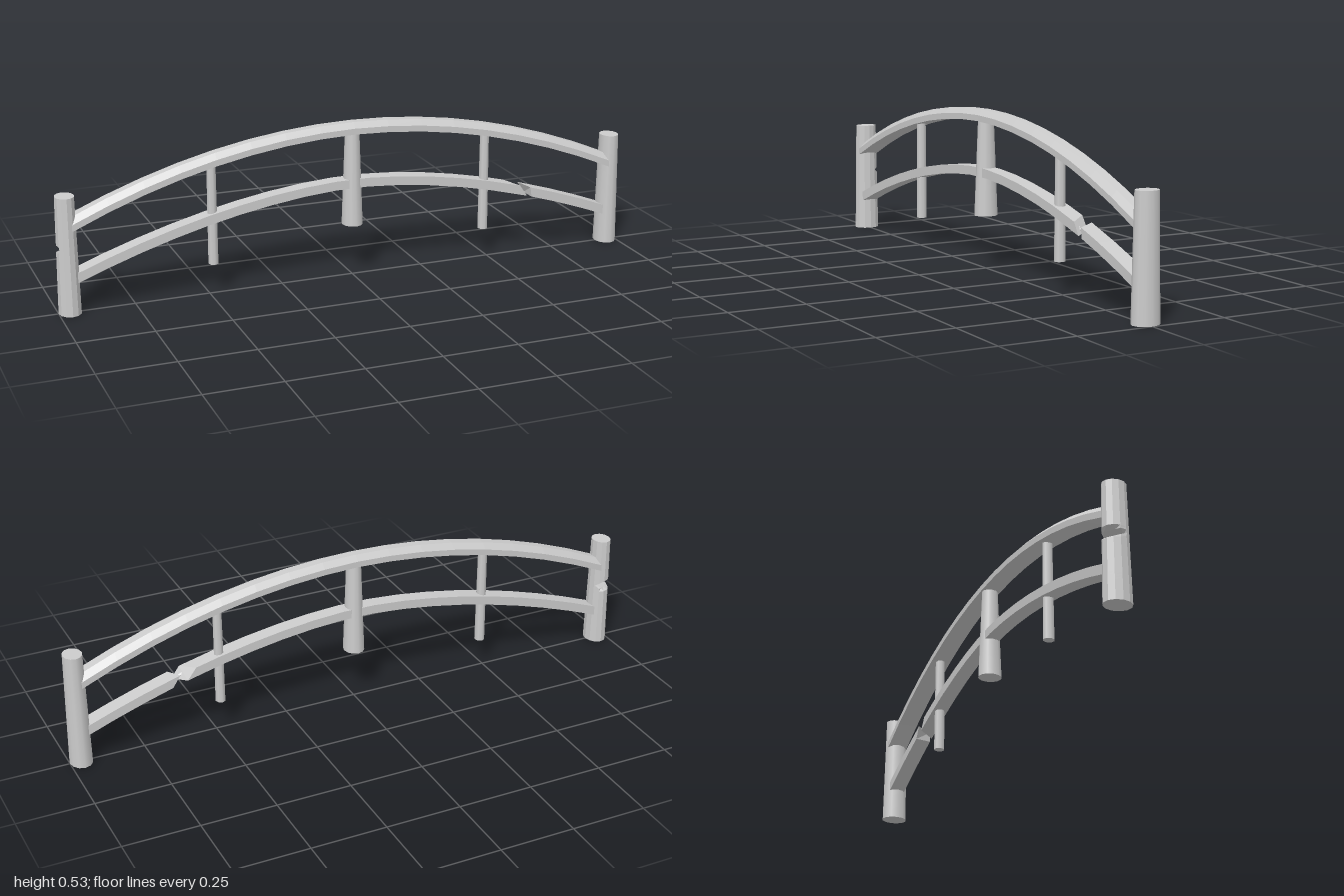
import * as THREE from 'three';

const flat = new THREE.MeshStandardMaterial({ color: 0xcccccc, flatShading: true });
const smooth = new THREE.MeshStandardMaterial({ color: 0xcccccc });

// Sweep a (y, z) section along x following an arch; cut shifts x per section corner at broken ends
function railGeometry(x0, x1, steps, section, arch, cut0, cut1) {
  const n = section.length, pos = [], idx = [];
  for (let i = 0; i <= steps; i++) {
    section.forEach(([dy, z], k) => {
      let x = x0 + (x1 - x0) * i / steps;
      if (i === 0 && cut0) x += cut0[k];
      if (i === steps && cut1) x += cut1[k];
      const s = 1 + 0.12 * Math.abs(x);
      pos.push(x, arch(x) + dy * s, z * s);
    });
  }
  for (let i = 0; i < steps; i++) {
    for (let k = 0; k < n; k++) {
      const a = i * n + k, b = i * n + (k + 1) % n;
      idx.push(a, b, a + n, b, b + n, a + n);
    }
  }
  const e = steps * n;
  for (let k = 1; k < n - 1; k++) idx.push(0, k + 1, k, e, e + k, e + k + 1);
  const g = new THREE.BufferGeometry();
  g.setAttribute('position', new THREE.Float32BufferAttribute(pos, 3));
  g.setIndex(idx);
  const out = g.toNonIndexed();
  out.computeVertexNormals();
  return out;
}

// Tapered post standing on y0, slightly oval: rx = rz * oval
function postGeometry(rTop, rBottom, y0, y1, oval, sides = 12, rows = 1) {
  const g = new THREE.CylinderGeometry(rTop, rBottom, y1 - y0, sides, rows);
  g.translate(0, (y0 + y1) / 2, 0);
  g.scale(oval, 1, 1);
  return g;
}

// Wedge notch: push the wall on the outer back side inwards around a height
function notch(g, y, half, dir) {
  const p = g.attributes.position, v = new THREE.Vector3();
  for (let i = 0; i < p.count; i++) {
    v.fromBufferAttribute(p, i);
    const t = 1 - Math.abs(v.y - y) / half;
    if (t <= 0) continue;
    const d = v.dot(dir), limit = 0.045 * (1 - t);
    if (d > limit) v.addScaledVector(dir, limit - d);
    p.setXYZ(i, v.x, v.y, v.z);
  }
  g.computeVertexNormals();
  return g;
}

export function createModel() {
  const group = new THREE.Group();
  const add = (name, geometry, material, x = 0) => {
    const m = new THREE.Mesh(geometry, material);
    m.name = name;
    m.position.x = x;
    group.add(m);
  };

  // End posts, the right one with an axe-like notch
  add('leftEndPost', postGeometry(0.038, 0.045, 0, 0.39, 0.83), smooth, 0.963);
  add('rightEndPost', notch(postGeometry(0.038, 0.045, 0, 0.39, 0.83, 12, 39), 0.22, 0.022,
    new THREE.Vector3(-0.64, 0, -0.77)), flat, -0.963);

  // Centre post and thin balusters
  add('centrePost', postGeometry(0.027, 0.04, 0.18, 0.505, 0.87), smooth);
  for (const [name, x] of [['leftBaluster', 0.482], ['rightBaluster', -0.485]]) {
    add(name, postGeometry(0.017, 0.019, 0.103, 0.45, 0.9, 8), smooth, x);
  }

  // Handrail with chamfered top
  const handSection = [[-0.038, -0.032], [-0.018, -0.032], [0, -0.015], [0, 0.015], [-0.018, 0.032], [-0.038, 0.032]];
  const handArch = x => 0.534 - 0.207 * (x / 0.94) ** 2;
  add('handrail', railGeometry(-0.95, 0.95, 16, handSection, handArch), flat);

  // Lower rail, snapped in two on the left
  const lowSection = [[-0.03, -0.025], [0, -0.025], [0, 0.025], [-0.03, 0.025]];
  const lowArch = x => 0.341 - 0.203 * (Math.abs(x) / 0.94) ** 1.8;
  add('lowerRail', railGeometry(-0.95, 0.6, 14, lowSection, lowArch, null, [0, -0.03, 0.01, 0.037]), flat);
  add('lowerRailBrokenEnd', railGeometry(0.65, 0.95, 3, lowSection, lowArch, [0, -0.025, 0, 0.005]), flat);

  // Splinter at the break
  const splinter = new THREE.ConeGeometry(0.008, 0.05, 4);
  splinter.rotateZ(-Math.PI / 2 - 0.35);
  splinter.translate(0.615, 0.226, 0.008);
  add('splinter', splinter, flat);

  return group;
}
